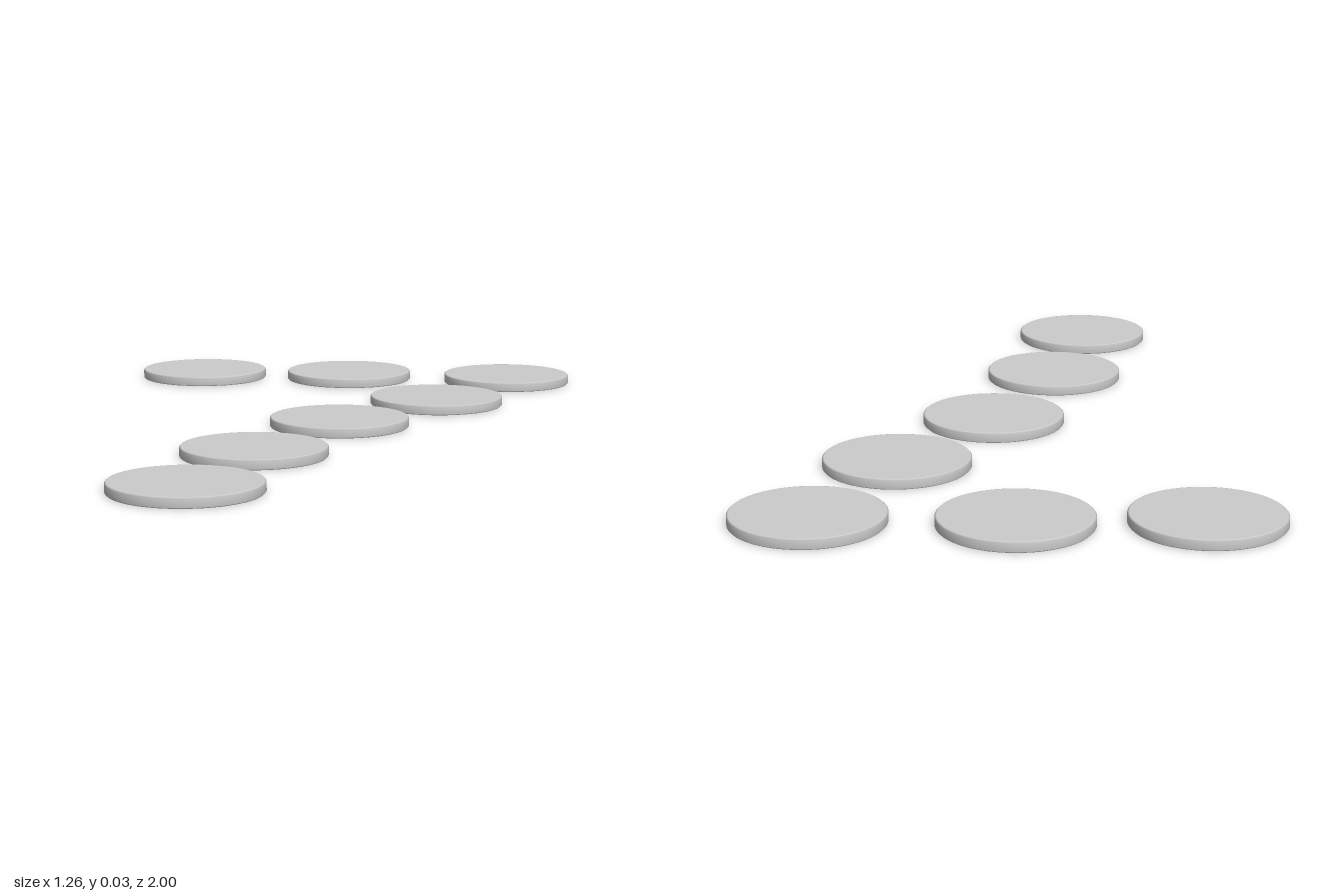
import * as THREE from 'three';

const RADIUS = 0.181;
const HEIGHT = 0.026;
const BEVEL = 0.003;

// Disc centres as [x, z]: a top row of three, then a curved diagonal stem
const CENTRES = [
  [-0.45, -0.81], [-0.02, -0.819], [0.445, -0.798],
  [0.262, -0.394], [0.029, -0.032], [-0.137, 0.391], [-0.232, 0.819],
];

// Flat disc with a softly eased rim; the extra ring keeps both faces flat
function discGeometry() {
  const inner = RADIUS - BEVEL;
  const profile = [
    [0, 0], [inner - 0.002, 0], [inner, 0], [RADIUS, BEVEL],
    [RADIUS, HEIGHT - BEVEL], [inner, HEIGHT], [inner - 0.002, HEIGHT], [0, HEIGHT],
  ].map(([r, y]) => new THREE.Vector2(r, y));
  return new THREE.LatheGeometry(profile, 64);
}

export function createModel() {
  const group = new THREE.Group();
  group.name = 'discs';
  const geometry = discGeometry();
  const material = new THREE.MeshStandardMaterial({ color: 0xcccccc });

  CENTRES.forEach(([x, z], i) => {
    const disc = new THREE.Mesh(geometry, material);
    disc.name = `disc${i + 1}`;
    disc.position.set(x, 0, z);
    group.add(disc);
  });
  return group;
}
